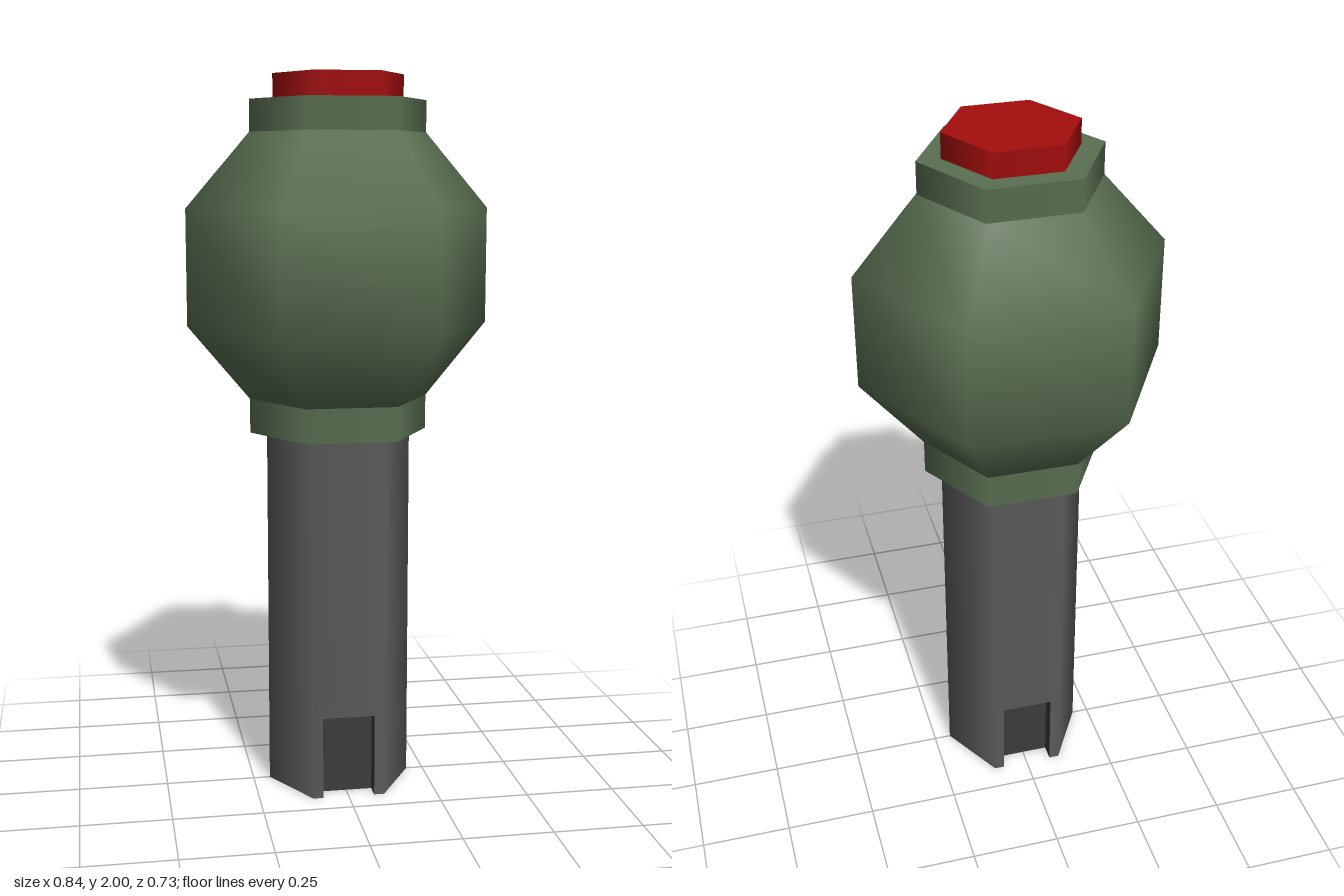
import * as THREE from 'three';

const material = (name, color) => {
  const m = new THREE.MeshStandardMaterial({ color });
  m.name = name;
  return m;
};

export function createModel() {
  const group = new THREE.Group();
  const green = material('olive green', 0x5a7052);
  const grey = material('shaft grey', 0x5c5c5c);
  const dark = material('recess grey', 0x3b3b3b);
  const red = material('cap red', 0xa50d0d);

  const add = (name, geometry, mat) => {
    const mesh = new THREE.Mesh(geometry, mat);
    mesh.name = name;
    group.add(mesh);
  };
  // Six-sided prism with corners on the x axis
  const hexPrism = (name, radius, y0, y1, mat) => {
    const g = new THREE.CylinderGeometry(radius, radius, y1 - y0, 6, 1, false, Math.PI / 2);
    g.translate(0, (y0 + y1) / 2, 0);
    add(name, g, mat);
  };

  const R = 0.203, notchTop = 0.233, notchHalf = 0.073, notchZ = 0.13;
  const flat = R * Math.sqrt(3) / 2;

  // Shaft above the notches; its underside is the notch ceiling
  hexPrism('shaft', R, notchTop, 1.02, [grey, grey, dark]);

  // Shaft foot with a notch in the front and back faces
  const half = [[R, 0], [R / 2, flat], [notchHalf, flat], [notchHalf, notchZ],
    [-notchHalf, notchZ], [-notchHalf, flat], [-R / 2, flat]];
  const outline = [...half, ...half.map(([x, y]) => [-x, -y])];
  const foot = new THREE.ExtrudeGeometry(
    new THREE.Shape(outline.map(([x, y]) => new THREE.Vector2(x, y))),
    { depth: notchTop, bevelEnabled: false });
  foot.rotateX(-Math.PI / 2);
  foot.clearGroups();
  const pos = foot.attributes.position, nor = foot.attributes.normal;
  const p = new THREE.Vector3(), n = new THREE.Vector3();
  for (let i = 0; i < pos.count; i += 3) {
    n.fromBufferAttribute(nor, i);
    p.fromBufferAttribute(pos, i);
    const side = Math.abs(n.y) < 0.5;
    const outer = side && n.x * p.x + n.z * p.z > flat - 0.01;
    foot.addGroup(i, 3, side && !outer ? 1 : 0);
    // Smooth the outer faces like the shaft above
    for (let k = i; outer && k < i + 3; k++) {
      p.fromBufferAttribute(pos, k).setY(0).normalize();
      nor.setXYZ(k, p.x, p.y, p.z);
    }
  }
  add('notchedFoot', foot, [grey, dark]);

  // Bulb with its two collars
  hexPrism('lowerCollar', 0.25, 1.02, 1.115, green);
  const profile = [[0.25, 1.115], [0.421, 1.32], [0.421, 1.64], [0.245, 1.845]];
  add('bulb', new THREE.LatheGeometry(
    profile.map(([x, y]) => new THREE.Vector2(x, y)), 6, Math.PI / 2), green);
  hexPrism('upperCollar', 0.245, 1.845, 1.932, green);

  // Button on top
  hexPrism('topCap', 0.181, 1.932, 2, red);
  return group;
}
